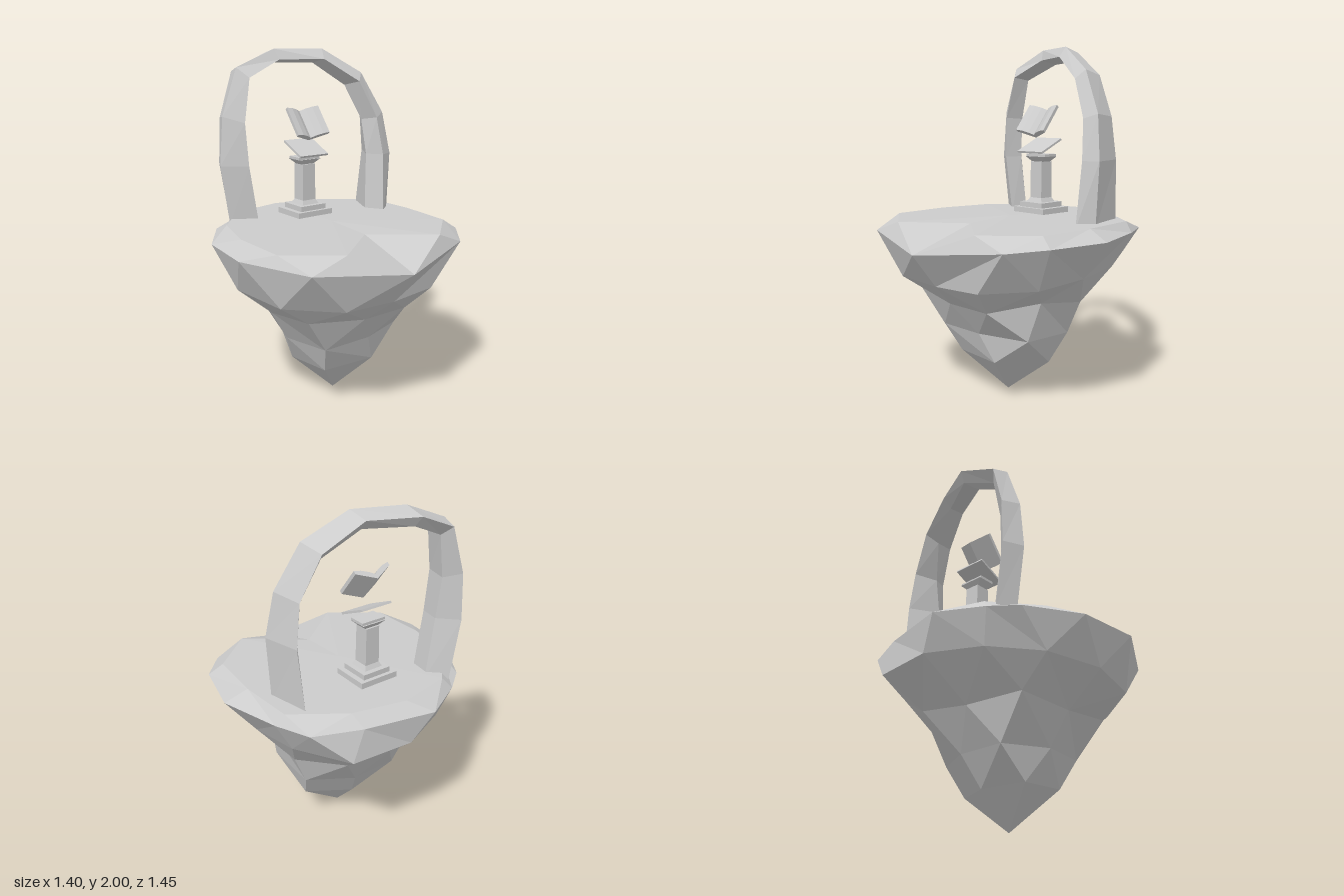
import * as THREE from 'three';

const stone = new THREE.MeshStandardMaterial({ color: 0xcccccc, flatShading: true });

function addMesh(parent, name, geometry, x = 0, y = 0, z = 0) {
  const mesh = new THREE.Mesh(geometry, stone);
  mesh.name = name;
  mesh.position.set(x, y, z);
  parent.add(mesh);
  return mesh;
}

function fromTriangles(points) {
  const g = new THREE.BufferGeometry().setFromPoints(points);
  g.computeVertexNormals();
  return g;
}

// Ring of evenly spaced points; tilt lowers the +x side, wobble alternates the height
function ring(y, start, radii, tilt = 0, wobble = 0) {
  return radii.map((radius, i) => {
    const angle = start + (i * 360) / radii.length;
    const height = y - tilt * Math.cos(THREE.MathUtils.degToRad(angle)) + (i % 2 ? wobble : -wobble);
    return { angle, radius, height };
  });
}

// Uneven outer rim that droops towards +x
function rimRing() {
  const angles = [0, 44, 76, 105, 133, 148, 171, 205, 227, 243, 272, 299, 317];
  const radii = [0.7, 0.767, 0.742, 0.703, 0.68, 0.674, 0.71, 0.675, 0.746, 0.707, 0.73, 0.743, 0.736];
  return angles.map((angle, i) => {
    const droop = Math.max(0, Math.cos(THREE.MathUtils.degToRad(angle))) ** 4;
    return { angle, radius: radii[i], height: 0.975 - 0.075 * droop };
  });
}

// Joins two rings with different numbers of points, always advancing the lagging one
function stitch(upper, lower, out) {
  const at = (r, i) => {
    const p = r[i % r.length];
    const t = THREE.MathUtils.degToRad(p.angle);
    return new THREE.Vector3(p.radius * Math.cos(t), p.height, p.radius * Math.sin(t));
  };
  const angle = (r, i) => r[i % r.length].angle + 360 * Math.floor(i / r.length);
  const nu = upper.length > 1 ? upper.length : 0;
  const nl = lower.length > 1 ? lower.length : 0;
  let i = 0, j = 0;
  while (i < nu || j < nl) {
    if (j >= nl || (i < nu && angle(upper, i + 1) < angle(lower, j + 1))) {
      out.push(at(upper, i), at(upper, i + 1), at(lower, j));
      i++;
    } else {
      out.push(at(upper, i), at(lower, j + 1), at(lower, j));
      j++;
    }
  }
}

// Faceted floating rock: rings from the middle of the lawn down to the tip
function islandGeometry() {
  const rings = [
    ring(1.04, 0, [0]),
    ring(1.03, 0, [0.3, 0.64, 0.69, 0.6, 0.6, 0.62, 0.6, 0.61, 0.67, 0.6, 0.66, 0.64], 0.005),
    rimRing(),
    ring(0.755, 0, [0.55, 0.62, 0.66, 0.63, 0.6, 0.6, 0.65, 0.71, 0.6, 0.56, 0.6, 0.6], 0.045),
    ring(0.595, 10, [0.4, 0.53, 0.42, 0.46, 0.41, 0.48, 0.44, 0.41, 0.45], 0, 0.02),
    ring(0.39, 42, [0.38, 0.31, 0.34, 0.29, 0.36, 0.38, 0.29], -0.015),
    ring(0.22, 45, [0.28, 0.24, 0.18, 0.28, 0.26], -0.02),
    ring(0, 0, [0.01]),
  ];
  const tris = [];
  for (let k = 0; k < rings.length - 1; k++) stitch(rings[k], rings[k + 1], tris);
  return fromTriangles(tris);
}

// Leaning, twisted arch swept through skewed four-cornered sections
function archGeometry() {
  // outer edge z, y; then x of outer left, outer right, inner right, inner left
  const stations = [
    [0.43, 1.0, -0.52, -0.42, -0.315, -0.43],
    [0.48, 1.35, -0.53, -0.42, -0.315, -0.43],
    [0.455, 1.63, -0.525, -0.42, -0.33, -0.45],
    [0.36, 1.9, -0.51, -0.415, -0.35, -0.46],
    [0.115, 2.0, -0.53, -0.4, -0.37, -0.49],
    [-0.155, 2.0, -0.42, -0.3, -0.26, -0.37],
    [-0.38, 1.86, -0.36, -0.21, -0.17, -0.29],
    [-0.51, 1.62, -0.33, -0.16, -0.125, -0.22],
    [-0.55, 1.37, -0.34, -0.13, -0.09, -0.18],
    [-0.53, 1.0, -0.375, -0.13, -0.06, -0.16],
  ];
  const sections = stations.map(([z, y, outerLeft, outerRight, innerRight, innerLeft], i) => {
    // the band thins towards the crown and skews more towards the back foot
    const thickness = THREE.MathUtils.mapLinear(Math.max(y, 1.35), 1.35, 2, 0.15, 0.085);
    const inward = new THREE.Vector3(0, Math.min(y, 1.45) - y, -0.03 - z).setLength(thickness);
    const skew = THREE.MathUtils.lerp(0.1, 0.45, i / (stations.length - 1));
    const corner = (x, depth) => new THREE.Vector3(x, y, z).addScaledVector(inward, depth);
    return [corner(outerLeft, 0.35), corner(outerRight, 0), corner(innerRight, 1 - skew), corner(innerLeft, 1)];
  });
  const tris = [];
  for (let s = 0; s < sections.length - 1; s++) {
    const p = sections[s], q = sections[s + 1];
    for (let k = 0; k < 4; k++) {
      const n = (k + 1) % 4;
      tris.push(p[k], p[n], q[n], p[k], q[n], q[k]);
    }
  }
  return fromTriangles(tris);
}

// Square block that may taper, given half-widths at top and bottom
function squareBlock(top, bottom, height) {
  return new THREE.CylinderGeometry(top * Math.SQRT2, bottom * Math.SQRT2, height, 4).rotateY(Math.PI / 4);
}

function createPedestal() {
  const pedestal = new THREE.Group();
  pedestal.name = 'pedestal';
  pedestal.position.x = -0.265;
  // name, top y, bottom half-width, top half-width, narrowing in x; stacked upwards
  const blocks = [
    ['lowerPlinth', 1.07, 0.12, 0.12, 0.92],
    ['upperPlinth', 1.1, 0.088, 0.088, 1],
    ['shaftFoot', 1.125, 0.058, 0.045, 1],
    ['shaft', 1.34, 0.045, 0.043, 1],
    ['capital', 1.37, 0.043, 0.075, 0.75],
    ['capitalSlab', 1.385, 0.075, 0.075, 0.65],
  ];
  let base = 1.02;
  for (const [name, top, w0, w1, narrow] of blocks) {
    const block = squareBlock(w1, w0, top - base).scale(narrow, 1, 1);
    addMesh(pedestal, name, block, 0, (base + top) / 2, 0);
    base = top;
  }
  // Sloping reading board
  const board = addMesh(pedestal, 'readingBoard', new THREE.BoxGeometry(0.185, 0.012, 0.196), 0.015, 1.434, 0);
  board.rotation.z = -0.42;
  return pedestal;
}

// Open book hovering above the board, its curved pages extruded along the spine
function bookGeometry() {
  const half = [[0.03, 0.036], [0.07, 0.054], [0.11, 0.062], [0.11, 0.042]];
  const shape = new THREE.Shape();
  shape.moveTo(0, 0.015);
  for (const [x, y] of half) shape.lineTo(x, y);
  shape.lineTo(0, -0.012);
  for (const [x, y] of [...half].reverse()) shape.lineTo(-x, y);
  const length = 0.185;
  const geometry = new THREE.ExtrudeGeometry(shape, { depth: length, bevelEnabled: false });
  geometry.translate(0, 0, -length / 2);
  const tilt = 0.9;
  return geometry.applyMatrix4(new THREE.Matrix4().makeBasis(
    new THREE.Vector3(0, 0, -1),
    new THREE.Vector3(Math.sin(tilt), Math.cos(tilt), 0),
    new THREE.Vector3(Math.cos(tilt), -Math.sin(tilt), 0),
  ));
}

export function createModel() {
  const model = new THREE.Group();
  model.name = 'floatingIsland';
  addMesh(model, 'island', islandGeometry());
  addMesh(model, 'stoneArch', archGeometry());
  model.add(createPedestal());
  addMesh(model, 'openBook', bookGeometry(), -0.27, 1.561, 0);
  return model;
}
